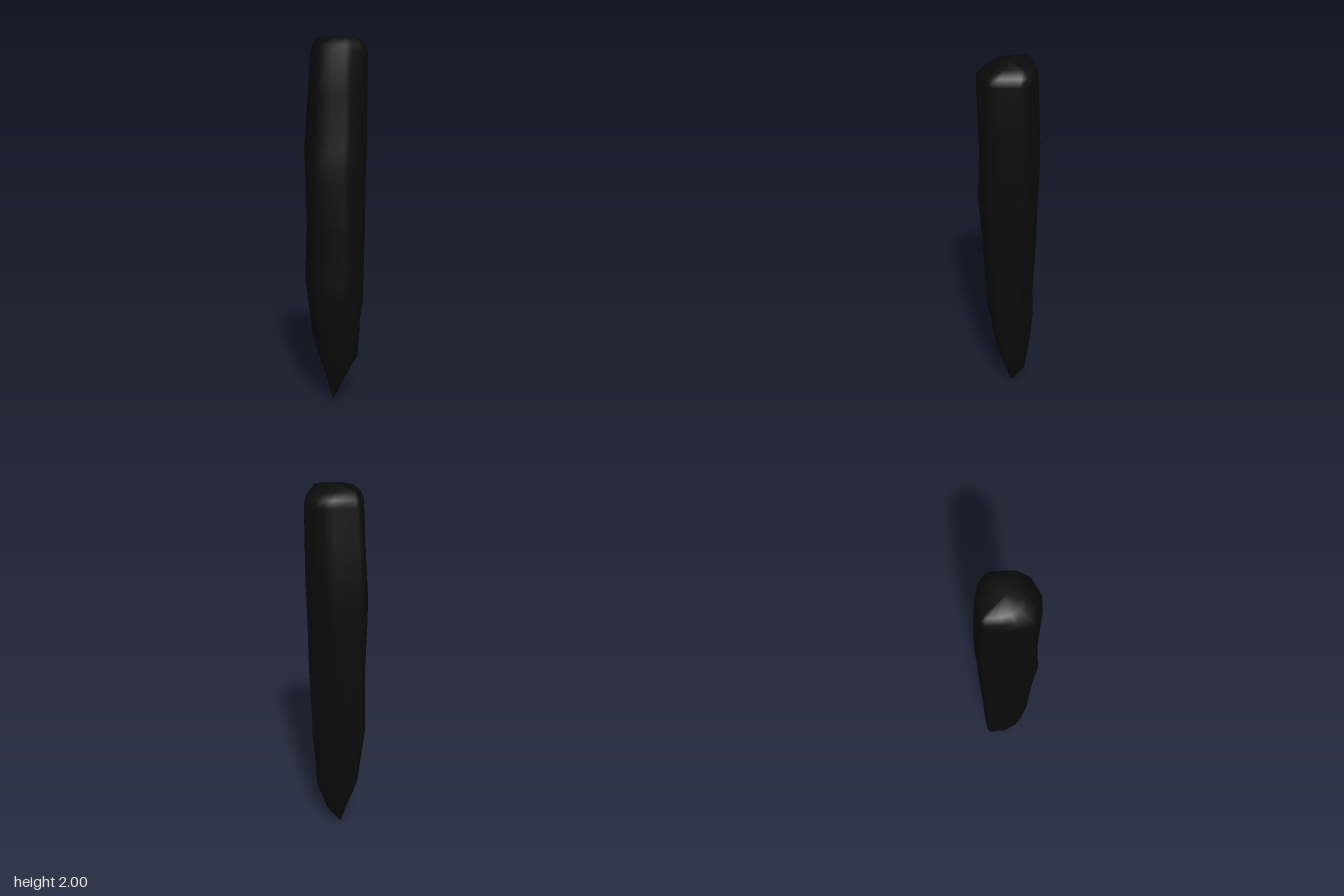
import * as THREE from 'three';

// Rough cross-section of the stake [x, z], clockwise from above
const OUTLINE = [
  [-0.183, -0.047], [-0.17, -0.078], [-0.062, -0.15], [-0.018, -0.163],
  [0.036, -0.17], [0.112, -0.153], [0.136, -0.122], [0.183, -0.005],
  [0.178, 0.04], [0.168, 0.062], [0.125, 0.11], [0.095, 0.138],
  [0.02, 0.167], [-0.06, 0.16], [-0.11, 0.11], [-0.145, 0.043],
];
const HALF_X = 0.183, HALF_Z = 0.17;

// Extents of each level: [y, minX, maxX, minZ, maxZ]
const LEVELS = [
  [0.13, -0.063, 0.053, -0.095, 0.025],
  [0.26, -0.113, 0.126, -0.115, 0.06],
  [0.36, -0.143, 0.136, -0.126, 0.083],
  [0.48, -0.155, 0.143, -0.135, 0.106],
  [0.59, -0.168, 0.162, -0.133, 0.125],
  [0.68, -0.178, 0.164, -0.133, 0.129],
  [1.00, -0.171, 0.172, -0.152, 0.147],
  [1.25, -0.175, 0.175, -0.159, 0.17],
  [1.40, -0.183, 0.178, -0.164, 0.163],
  [1.55, -0.173, 0.179, -0.167, 0.157],
  [1.70, -0.161, 0.18, -0.163, 0.159],
  [1.91, -0.145, 0.182, -0.158, 0.163],
  [1.95, -0.137, 0.165, -0.15, 0.132],
  [1.985, -0.115, 0.132, -0.118, 0.08],
];

// Stack the fitted cross-sections and close both ends with a point
function stakeGeometry() {
  const n = OUTLINE.length, pos = [], index = [];
  for (const [y, x0, x1, z0, z1] of LEVELS) {
    for (const [x, z] of OUTLINE) {
      pos.push(
        THREE.MathUtils.mapLinear(x, -HALF_X, HALF_X, x0, x1), y,
        THREE.MathUtils.mapLinear(z, -HALF_Z, HALF_Z, z0, z1));
    }
  }
  const tip = LEVELS.length * n, crown = tip + 1, last = tip - n;
  pos.push(-0.008, 0, -0.008, 0.02, 2, -0.005);
  for (let j = 0; j < n; j++) {
    const k = (j + 1) % n;
    index.push(tip, j, k, last + j, crown, last + k);
    for (let a = 0; a < last; a += n) {
      index.push(a + j, a + n + j, a + k, a + k, a + n + j, a + n + k);
    }
  }
  const geometry = new THREE.BufferGeometry();
  geometry.setAttribute('position', new THREE.Float32BufferAttribute(pos, 3));
  geometry.setIndex(index);
  geometry.computeVertexNormals();
  return geometry;
}

export function createModel() {
  const group = new THREE.Group();
  group.name = 'sharpenedStake';
  const stake = new THREE.Mesh(
    stakeGeometry(), new THREE.MeshStandardMaterial({ color: 0x0a0a0a }));
  stake.name = 'stake';
  group.add(stake);
  return group;
}
